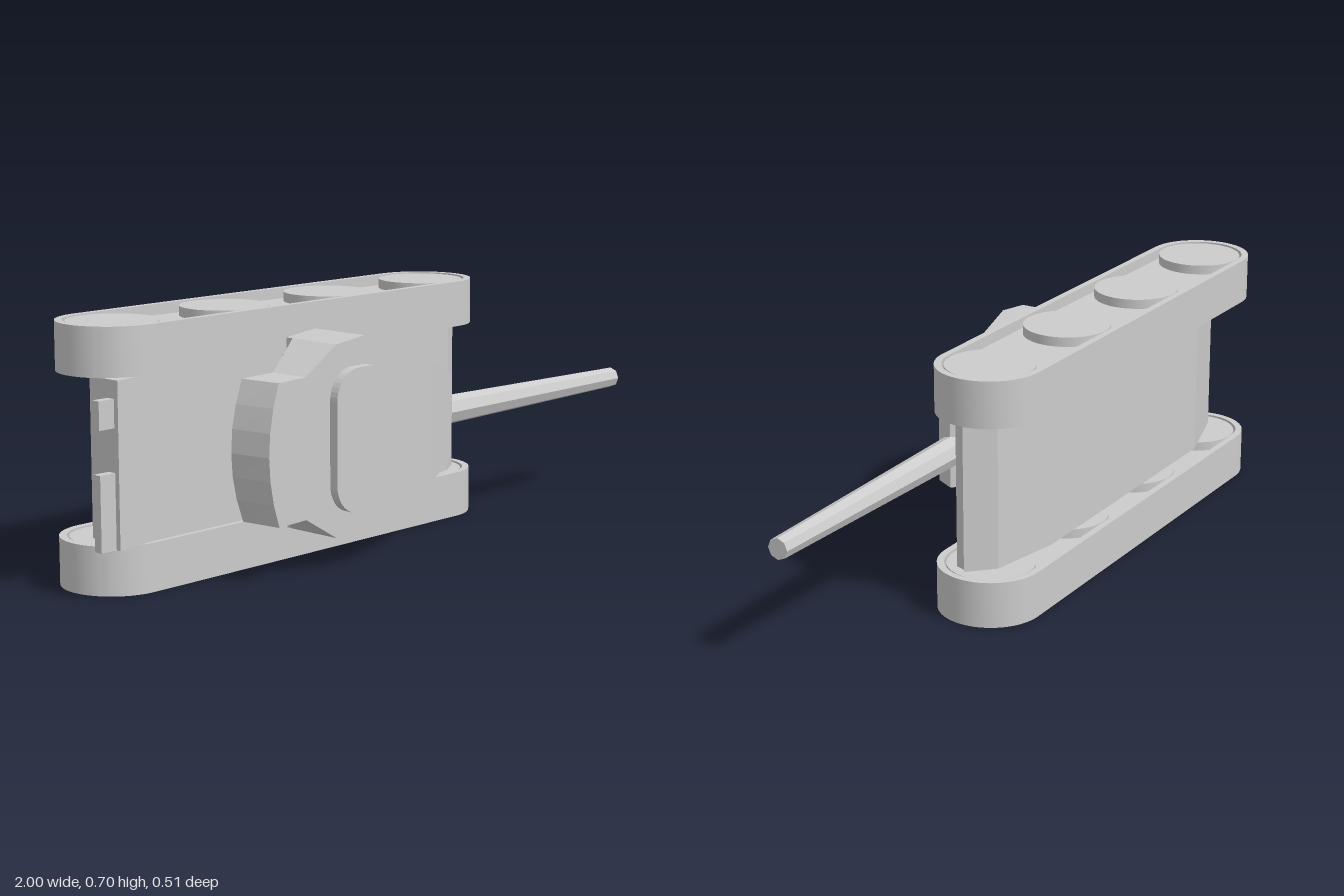
import * as THREE from 'three';
import { toCreasedNormals } from 'three/addons/utils/BufferGeometryUtils.js';

const MID = 0.349; // height of the symmetry plane; the vehicle lies on its side
const flat = new THREE.MeshStandardMaterial({ color: 0xcccccc, flatShading: true });
const smooth = new THREE.MeshStandardMaterial({ color: 0xcccccc });

function add(parent, name, geometry, material = flat) {
  const mesh = new THREE.Mesh(geometry, material);
  mesh.name = name;
  parent.add(mesh);
  return mesh;
}

function polygon(points) {
  return new THREE.Shape(points.map(([x, y]) => new THREE.Vector2(x, y)));
}

// Oblong outline with round ends centred at x0 and x1
function oblong(x0, x1, z, r, Type = THREE.Shape) {
  const s = new Type();
  s.absarc(x1, z, r, -Math.PI / 2, Math.PI / 2, false);
  s.absarc(x0, z, r, Math.PI / 2, Math.PI * 1.5, false);
  s.closePath();
  return s;
}

// Extrude an x-z outline upward from y0 to y1
function upright(shape, y0, y1) {
  return new THREE.ExtrudeGeometry(shape, { depth: y1 - y0, bevelEnabled: false, curveSegments: 20 })
    .rotateX(Math.PI / 2).translate(0, y1, 0);
}

// Loft through rectangular sections [x, halfWidth, top, bottom]
function loft(sections) {
  const pos = [], idx = [];
  for (const [x, w, t, b] of sections) {
    pos.push(x, MID + w, t, x, MID - w, t, x, MID - w, b, x, MID + w, b);
  }
  const last = (sections.length - 1) * 4;
  for (let i = 0; i < last; i += 4) {
    for (let k = 0; k < 4; k++) {
      const n = (k + 1) % 4;
      idx.push(i + k, i + 4 + n, i + 4 + k, i + k, i + n, i + 4 + n);
    }
  }
  idx.push(0, 2, 1, 0, 3, 2, last, last + 1, last + 2, last, last + 2, last + 3);
  const g = new THREE.BufferGeometry();
  g.setAttribute('position', new THREE.Float32BufferAttribute(pos, 3));
  g.setIndex(idx);
  const out = g.toNonIndexed();
  out.computeVertexNormals();
  return out;
}

function makeTrack(y0, name) {
  const track = new THREE.Group();
  track.name = name;
  const x0 = -0.832, x1 = 0.367, z = -0.107, h = 0.131;
  // Belt with an open middle
  const belt = oblong(x0, x1, z, 0.148);
  belt.holes.push(oblong(x0, x1, z, 0.128, THREE.Path));
  add(track, 'trackBelt', toCreasedNormals(upright(belt, y0, y0 + h), 0.6), smooth);
  // Recessed web and four road wheels
  add(track, 'trackWeb', toCreasedNormals(upright(oblong(x0, x1, z, 0.13), y0 + 0.03, y0 + h - 0.03), 0.6), smooth);
  for (let i = 0; i < 4; i++) {
    const wheel = add(track, 'roadWheel', new THREE.CylinderGeometry(0.122, 0.122, h - 0.006, 40), smooth);
    wheel.position.set(x0 + (x1 - x0) * i / 3, y0 + h / 2, z);
  }
  return track;
}

export function createModel() {
  const model = new THREE.Group();
  model.name = 'tank';

  model.add(makeTrack(0, 'rightTrack'), makeTrack(0.567, 'leftTrack'));

  // Hull side profile
  const hull = polygon([
    [-0.95, 0.045], [-0.95, 0], [-0.90, -0.12], [-0.67, -0.19], [0.19, -0.19], [0.40, -0.15],
    [0.467, -0.083], [0.455, -0.075], [0.445, -0.047], [0.38, -0.008], [0.22, 0.025], [-0.82, 0.027],
  ]);
  add(model, 'hull', upright(hull, 0.13, 0.568));

  // Rear stowage boxes
  for (const [y0, y1] of [[0.13, 0.33], [0.445, 0.52]]) {
    add(model, 'rearBox', new THREE.BoxGeometry(0.06, y1 - y0, 0.025))
      .position.set(-0.97, (y0 + y1) / 2, 0.018);
  }

  const turret = new THREE.Group();
  turret.name = 'turret';
  model.add(turret);

  // Turret body, from the bustle neck to the nose
  add(turret, 'turretBody', loft([
    [-0.47, 0.19, 0.235, 0.115], [-0.345, 0.262, 0.226, 0.065], [-0.344, 0.262, 0.226, 0.02],
    [-0.235, 0.275, 0.226, 0.02], [0.04, 0.173, 0.226, 0.02], [0.135, 0.13, 0.2, 0.02],
    [0.136, 0.13, 0.2, 0.07], [0.17, 0.112, 0.188, 0.1], [0.205, 0.11, 0.13, 0.128],
  ]));

  // Bustle with a curved back, tilted by shifting its vertices
  const outline = [[-0.47, -0.19]];
  outline.push([-0.47, 0.19]);
  for (let i = 0; i <= 6; i++) {
    const t = 1 - i / 3;
    outline.push([-0.582 - 0.04 * (1 - t * t), t * 0.19]);
  }
  const bustle = new THREE.ExtrudeGeometry(polygon(outline), { depth: 1, bevelEnabled: false });
  const p = bustle.attributes.position;
  for (let i = 0; i < p.count; i++) {
    const x = p.getX(i), top = p.getZ(i), back = (-0.47 - x) / 0.15;
    p.setXYZ(i, x - (1 - top) * 0.018 * Math.min(back, 1), p.getY(i) + MID,
      top ? 0.235 + 0.016 * back : 0.115 + 0.015 * back);
  }
  bustle.computeVertexNormals();
  add(turret, 'turretBustle', bustle);

  // Raised roof hatch with rounded corners
  const hatch = new THREE.Shape();
  const hw = 0.108, hh = 0.197, r = 0.085;
  hatch.absarc(hw - r, hh - r, r, 0, Math.PI / 2);
  hatch.absarc(r - hw, hh - r, r, Math.PI / 2, Math.PI);
  hatch.absarc(r - hw, r - hh, r, Math.PI, Math.PI * 1.5);
  hatch.absarc(hw - r, r - hh, r, Math.PI * 1.5, Math.PI * 2);
  add(turret, 'roofHatch', new THREE.ExtrudeGeometry(hatch, { depth: 0.04, bevelEnabled: false, curveSegments: 5 }))
    .position.set(-0.263, MID, 0.214);

  // Tapered eight-sided gun
  const gun = add(turret, 'gunBarrel', new THREE.CylinderGeometry(0.03, 0.043, 0.82, 8));
  gun.rotation.z = -Math.PI / 2;
  gun.position.set(0.59, MID, 0.127);

  return model;
}
